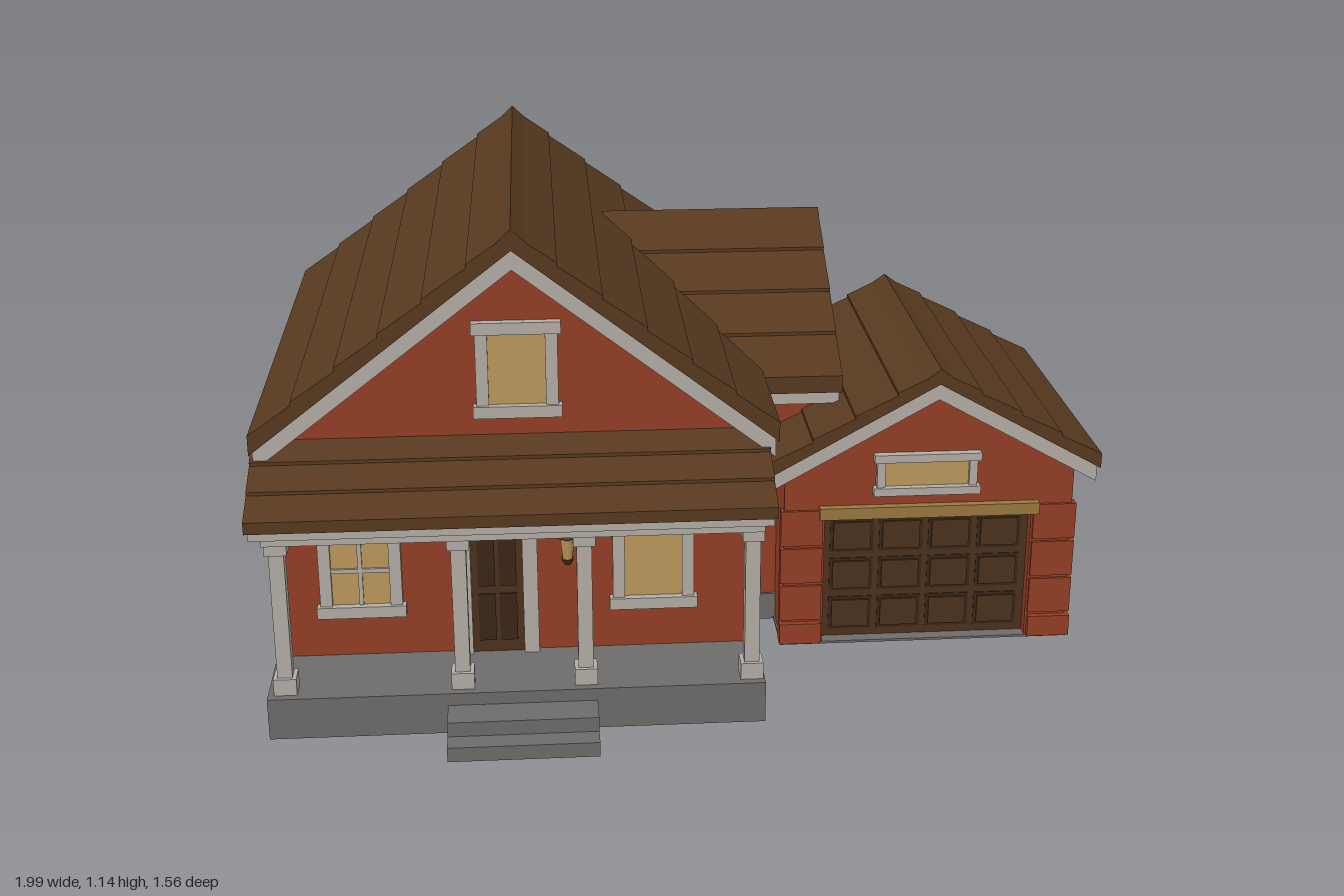
import * as THREE from 'three';

const mat = (name, color) => {
  const m = new THREE.MeshStandardMaterial({ color });
  m.name = name;
  return m;
};

export function createModel() {
  const house = new THREE.Group();
  house.name = 'house';
  const brick = mat('red brick', 0x933e24);
  const shingle = mat('brown shingle', 0x57391f);
  const trim = mat('white trim', 0xb3aea6);
  const stone = mat('grey stone', 0x6e6c6b);
  const glass = mat('warm glass', 0xbd995c);
  const wood = mat('dark wood', 0x4b321d);
  const inset = mat('deep wood', 0x3a2616);
  const lintelWood = mat('light wood', 0x9a7840);

  const add = (name, geo, material, parent = house) => {
    const m = new THREE.Mesh(geo, material);
    m.name = name;
    parent.add(m);
    return m;
  };
  // Box given by its min and max on each axis
  const box = (name, material, x0, x1, y0, y1, z0, z1, parent = house) => {
    const m = add(name, new THREE.BoxGeometry(x1 - x0, y1 - y0, z1 - z0), material, parent);
    m.position.set((x0 + x1) / 2, (y0 + y1) / 2, (z0 + z1) / 2);
    return m;
  };
  // Profile extruded along z, centred
  const extrude = (pts, length) => {
    const shape = new THREE.Shape(pts.map(p => new THREE.Vector2(p[0], p[1])));
    return new THREE.ExtrudeGeometry(shape, { depth: length, bevelEnabled: false }).translate(0, 0, -length / 2);
  };
  // Stepped line of overlapping shingle courses
  const courses = (x0, y0, x1, y1, n, lift = 0.008) => {
    const pts = [];
    for (let i = 0; i < n; i++) {
      const a = i / n, b = (i + 1) / n;
      pts.push([x0 + (x1 - x0) * a, y0 + (y1 - y0) * a]);
      pts.push([x0 + (x1 - x0) * b, y0 + (y1 - y0) * b + lift]);
    }
    return pts;
  };
  // Gable roof: shingle slab over a white trim chevron
  const gableRoof = (name, half, ridge, slope, t, trimT, length, n) => {
    const g = new THREE.Group();
    g.name = name;
    const eave = ridge - half * slope;
    const right = courses(0, ridge, half, eave, n);
    const left = right.slice(1).reverse().map(([x, y]) => [-x, y]);
    add('shingles', extrude([...left, ...right, [half, eave - t], [0, ridge - t], [-half, eave - t]], length), shingle, g);
    const h = half - 0.008, e = ridge - h * slope - t;
    add('roofTrim', extrude([[-h, e], [0, ridge - t], [h, e], [h, e - trimT], [0, ridge - t - trimT], [-h, e - trimT]], length - 0.012), trim, g);
    const cap = add('ridgeCap', extrude([[-0.03, ridge - 0.03 * slope], [0, ridge + 0.005], [0.03, ridge - 0.03 * slope], [0, ridge - 0.02]], length), shingle, g);
    cap.position.y = 0.003;
    house.add(g);
    return g;
  };
  const gableWall = (half, base, eave, peak, length) =>
    extrude([[-half, base], [half, base], [half, eave], [0, peak], [-half, eave]], length);

  // Window facing local +z: pane, frame, sill, optional glazing bars
  const windowAt = (name, x, y, z, turn, w, h, bars = 0, f = 0.028) => {
    const g = new THREE.Group();
    g.name = name;
    const a = w / 2, b = h / 2;
    box('pane', glass, -a + f, a - f, -b + f, b - f, -0.002, 0.006, g);
    for (const s of [-1, 1]) {
      const c = s * (a - f / 2);
      box('sideFrame', trim, c - f / 2, c + f / 2, -b, b, -0.005, 0.016, g);
    }
    box('topFrame', trim, -a - 0.008, a + 0.008, b - f, b, -0.005, 0.021, g);
    box('sill', trim, -a - 0.008, a + 0.008, -b, -b + f, -0.005, 0.024, g);
    if (bars > 1) box('crossBar', trim, -a + f, a - f, -0.005, 0.005, 0, 0.012, g);
    if (bars) for (let i = 1; i < bars; i++) {
      const c = -a + f + (w - 2 * f) * i / bars;
      box('uprightBar', trim, c - 0.005, c + 0.005, -b + f, b - f, 0, 0.012, g);
    }
    g.position.set(x, y, z);
    g.rotation.y = turn;
    house.add(g);
  };

  // Foundations, porch floor and steps
  box('mainFoundation', stone, -0.957, 0.157, 0, 0.075, -0.725, 0.44);
  box('wingFoundation', stone, 0, 0.335, 0, 0.07, -0.725, 0.127);
  box('porchFloor', stone, -0.975, 0.155, 0, 0.1, 0.42, 0.65);
  box('upperStep', stone, -0.57, -0.23, 0, 0.07, 0.64, 0.73);
  box('lowerStep', stone, -0.57, -0.23, 0, 0.035, 0.64, 0.78);
  box('garageSlab', stone, 0.236, 0.956, 0, 0.006, -0.425, 0.275);

  // Walls
  add('mainWalls', gableWall(0.55, 0.07, 0.65, 1.075, 1.16), brick).position.set(-0.4, 0, -0.14);
  const wing = add('wingWalls', gableWall(0.42, 0.065, 0.65, 0.9, 0.33), brick);
  wing.rotation.y = Math.PI / 2;
  wing.position.set(0.165, 0, -0.3);
  add('garageWalls', gableWall(0.355, 0.006, 0.48, 0.675, 0.65), brick).position.set(0.595, 0, -0.095);
  const front = [[-0.355, 0.006], [-0.255, 0.006], [-0.255, 0.345], [0.255, 0.345], [0.255, 0.006],
    [0.355, 0.006], [0.355, 0.48], [0, 0.675], [-0.355, 0.48]];
  add('garageFront', extrude(front, 0.04), brick).position.set(0.595, 0, 0.25);
  // Projecting brick base around the garage
  box('sideBase', brick, 0.94, 0.96, 0.006, 0.06, -0.425, 0.28);
  box('backBase', brick, 0.34, 0.96, 0.006, 0.06, -0.427, -0.41);
  for (const [x0, x1] of [[0.232, 0.335], [0.855, 0.96]]) {
    box('frontBase', brick, x0, x1, 0.006, 0.06, 0.25, 0.285);
    for (let i = 0; i < 3; i++) box('brickCourse', brick, x0, x1, 0.068 + i * 0.1, 0.16 + i * 0.1, 0.25, 0.277);
  }

  // Roofs
  gableRoof('mainRoof', 0.595, 1.137, 0.775, 0.04, 0.045, 1.29, 6).position.set(-0.4, 0, -0.135);
  const wingRoof = gableRoof('wingRoof', 0.48, 0.96, 0.615, 0.035, 0.035, 0.56, 4);
  wingRoof.rotation.y = Math.PI / 2;
  wingRoof.position.set(0.108, 0, -0.3);
  gableRoof('garageRoof', 0.4, 0.727, 0.56, 0.03, 0.04, 0.785, 4).position.set(0.598, 0, -0.065);

  // Porch roof, sloping forward
  const porch = new THREE.Group();
  porch.name = 'porchRoof';
  add('shingles', extrude([...courses(0.43, 0.65, 0.668, 0.535, 3), [0.668, 0.515], [0.43, 0.62]], 1.17), shingle, porch);
  add('soffit', extrude([[0.43, 0.62], [0.66, 0.519], [0.66, 0.495], [0.43, 0.59]], 1.155), trim, porch);
  porch.rotation.y = -Math.PI / 2;
  porch.position.x = -0.41;
  house.add(porch);
  box('porchBeam', trim, -0.965, 0.15, 0.47, 0.525, 0.58, 0.635);
  for (const x of [-0.965, 0.12]) box('porchSideBeam', trim, x, x + 0.03, 0.475, 0.51, 0.43, 0.6);
  for (const x of [-0.935, -0.535, -0.255, 0.125]) {
    box('porchColumn', trim, x - 0.017, x + 0.017, 0.1, 0.48, 0.588, 0.622);
    box('columnBase', trim, x - 0.026, x + 0.026, 0.1, 0.14, 0.579, 0.631);
    box('columnCap', trim, x - 0.025, x + 0.025, 0.445, 0.475, 0.58, 0.63);
  }

  // Front door with white casing
  box('frontDoor', wood, -0.515, -0.395, 0.1, 0.415, 0.435, 0.447);
  for (const y of [0.13, 0.27]) for (const x of [-0.5, -0.45])
    box('doorPanel', inset, x, x + 0.04, y, y + 0.12, 0.445, 0.45);
  for (const x of [-0.55, -0.395]) box('doorCasing', trim, x, x + 0.035, 0.1, 0.44, 0.435, 0.46);
  box('doorHead', trim, -0.56, -0.35, 0.415, 0.45, 0.435, 0.464);

  // Windows
  const q = Math.PI / 2;
  windowAt('frontWindowRight', -0.77, 0.32, 0.44, 0, 0.19, 0.23, 2);
  windowAt('frontWindowLeft', -0.09, 0.32, 0.44, 0, 0.19, 0.23);
  windowAt('gableWindow', -0.395, 0.805, 0.44, 0, 0.185, 0.225);
  windowAt('sideWindowLeft', 0.15, 0.32, 0.275, q, 0.17, 0.23);
  windowAt('garageSideWindow', 0.95, 0.275, -0.055, q, 0.185, 0.235);
  windowAt('garageFrontTransom', 0.585, 0.453, 0.27, 0, 0.245, 0.105, 0, 0.02);
  windowAt('garageBackTransom', 0.585, 0.453, -0.42, Math.PI, 0.245, 0.105, 0, 0.02);
  [-0.44, -0.11, 0.22].forEach((z, i) => windowAt('sideWindowRight', -0.95, 0.335, z, -q, 0.185, 0.24, i === 1 ? 0 : 2));

  // Garage door with panels and lintel
  box('garageDoor', wood, 0.34, 0.85, 0.006, 0.345, 0.225, 0.243);
  for (let r = 0; r < 3; r++) for (let c = 0; c < 4; c++) {
    const x = 0.358 + c * 0.122, y = 0.025 + r * 0.105;
    box('panelRecess', inset, x, x + 0.108, y, y + 0.088, 0.24, 0.245);
    box('raisedPanel', wood, x + 0.008, x + 0.1, y + 0.008, y + 0.08, 0.24, 0.25);
  }
  box('garageLintel', lintelWood, 0.325, 0.865, 0.34, 0.37, 0.25, 0.29);

  // Porch lantern on the front wall
  const lantern = new THREE.Group();
  lantern.name = 'porchLantern';
  add('lanternBody', new THREE.CylinderGeometry(0.02, 0.012, 0.06, 6), glass, lantern);
  add('lanternCap', new THREE.ConeGeometry(0.027, 0.035, 6), wood, lantern).position.y = 0.045;
  add('lanternFoot', new THREE.CylinderGeometry(0.016, 0.008, 0.015, 6), wood, lantern).position.y = -0.035;
  box('lanternBracket', wood, -0.006, 0.006, 0.035, 0.047, -0.04, 0, lantern);
  lantern.position.set(-0.29, 0.375, 0.475);
  house.add(lantern);

  return house;
}
